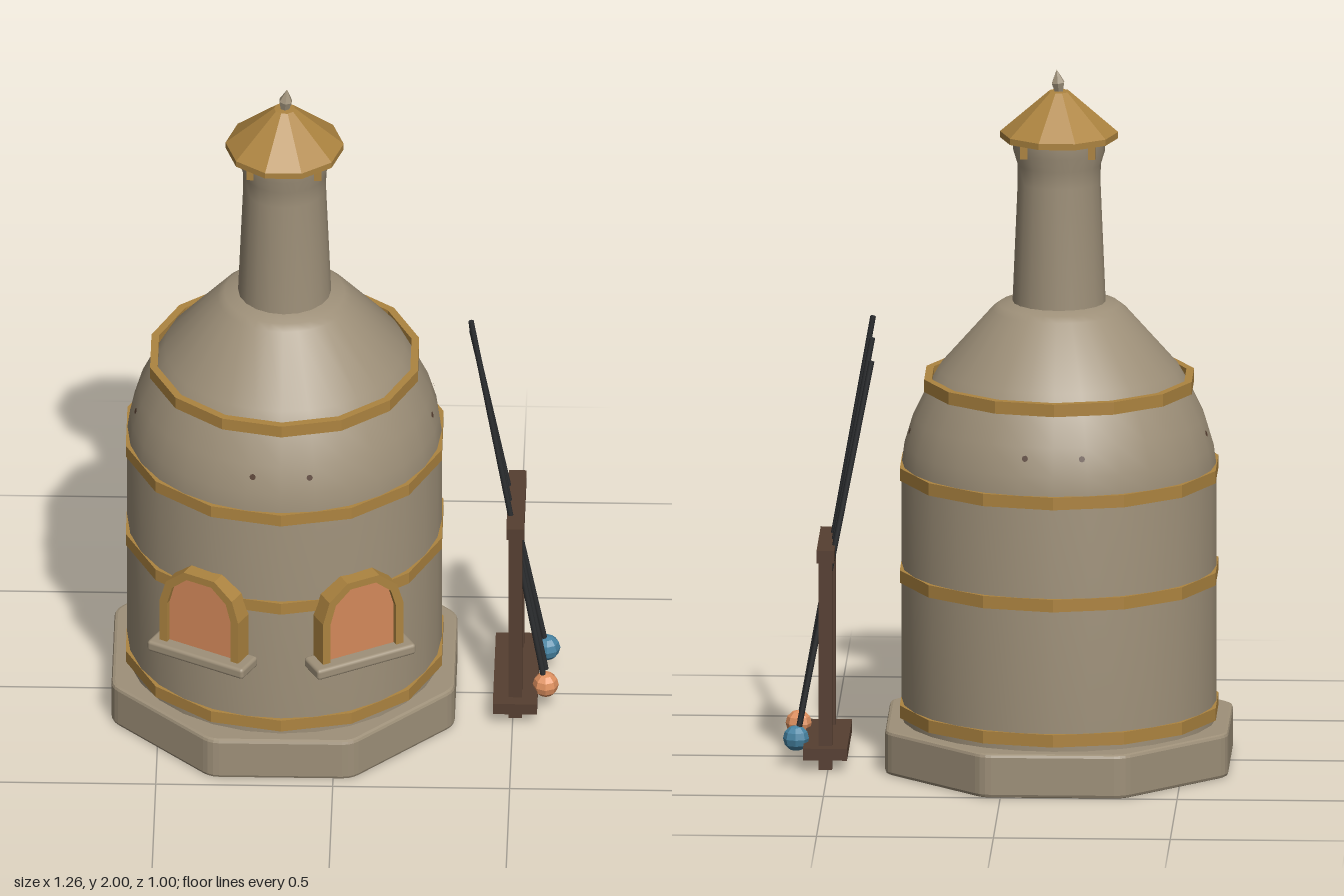
import * as THREE from 'three';
import { toCreasedNormals } from 'three/addons/utils/BufferGeometryUtils.js';
import { RoundedBoxGeometry } from 'three/addons/geometries/RoundedBoxGeometry.js';

const paint = (name, color) => {
  const m = new THREE.MeshStandardMaterial({ color });
  m.name = name;
  return m;
};

export function createModel() {
  const stone = paint('stone', 0x9e9079);
  const brass = paint('brass', 0xad8440);
  const glow = paint('terracotta', 0xd4895a);
  const wood = paint('dark wood', 0x563f31);
  const iron = paint('iron', 0x2c2e30);
  const orangeGlass = paint('orange glass', 0xdf9160);
  const blueGlass = paint('blue glass', 0x4784a3);

  const model = new THREE.Group();
  model.name = 'kilnWithToolRack';
  const add = (parent, name, geo, mat, x = 0, y = 0, z = 0) => {
    const mesh = new THREE.Mesh(geo, mat);
    mesh.name = name;
    mesh.position.set(x, y, z);
    parent.add(mesh);
    return mesh;
  };
  const group = (parent, name, x = 0, y = 0, z = 0) => {
    const g = new THREE.Group();
    g.name = name;
    g.position.set(x, y, z);
    parent.add(g);
    return g;
  };
  const lathe = (pts, sides, crease) => toCreasedNormals(
    new THREE.LatheGeometry(pts.map(p => new THREE.Vector2(...p)), sides), crease);

  const kiln = group(model, 'kiln', -0.148, 0, -0.02);

  // Octagonal plinth with softened corners
  const plinth = new THREE.Shape();
  const apothem = 0.475, R = apothem / Math.cos(Math.PI / 8);
  const corner = i => {
    const a = Math.PI / 8 + i * Math.PI / 4;
    return new THREE.Vector2(R * Math.cos(a), R * Math.sin(a));
  };
  for (let i = 0; i < 8; i++) {
    const c = corner(i);
    const a = c.clone().lerp(corner(i - 1), 0.06), b = c.clone().lerp(corner(i + 1), 0.06);
    if (i === 0) plinth.moveTo(a.x, a.y); else plinth.lineTo(a.x, a.y);
    plinth.quadraticCurveTo(c.x, c.y, b.x, b.y);
  }
  plinth.closePath();
  const plinthGeo = new THREE.ExtrudeGeometry(plinth, {
    depth: 0.107, bevelEnabled: true, bevelSize: 0.01, bevelThickness: 0.01, bevelSegments: 2, curveSegments: 3,
  });
  add(kiln, 'plinth', plinthGeo.rotateX(-Math.PI / 2), stone, 0, 0.01, 0);

  // Drum, shoulder and chimney
  add(kiln, 'body', lathe([[0.445, 0.12], [0.445, 0.86], [0.437, 0.92], [0.413, 1.0],
    [0.372, 1.085], [0.34, 1.14], [0.19, 1.31], [0.17, 1.325], [0.12, 1.335]], 28, 0.6), stone);
  add(kiln, 'chimney', lathe([[0.133, 1.3], [0.117, 1.68], [0.118, 1.73], [0.13, 1.77],
    [0.13, 1.815], [0, 1.815]], 20, 0.6), stone);

  // Faceted hoops
  for (const [y, r] of [[0.16, 0.458], [0.552, 0.458], [0.848, 0.458], [1.102, 0.388]]) {
    const h = 0.018, i = r - 0.022;
    add(kiln, 'hoop', lathe([[i, -h], [r, -h], [r, h], [i, h], [i, -h]], 14, 0.1), brass, 0, y, 0);
  }

  // Chimney cap on short pegs, with a finial
  const cap = lathe([[0, 1.805], [0.167, 1.805], [0.167, 1.823], [0.03, 1.94], [0, 1.942]], 10, 0.1);
  add(kiln, 'chimneyCap', cap.rotateY(Math.PI / 2), brass);
  add(kiln, 'finial', lathe([[0, 0], [0.012, 0], [0.02, 0.03], [0, 0.068]], 6, 0.1),
    stone, 0, 1.935, 0).rotation.z = -0.1;
  for (const sx of [-1, 1]) for (const sz of [-1, 1]) {
    add(kiln, 'capPeg', new THREE.BoxGeometry(0.02, 0.05, 0.02), brass, sx * 0.096, 1.79, sz * 0.096);
  }

  // Small vent holes around the shoulder
  for (let k = 0; k < 4; k++) for (const s of [-1, 1]) {
    const pivot = group(kiln, 'vent');
    pivot.rotation.y = k * Math.PI / 2 + s * 0.19;
    add(pivot, 'ventHole', new THREE.CircleGeometry(0.009, 8), wood, 0, 0.97, 0.427).rotation.x = -0.3;
  }

  // Arched openings
  const arch = (w, h, side, flat) => {
    const half = [[w, 0], [w, side], [w * 0.84, h - (h - side) * 0.42], [flat, h]];
    return [...half, ...half.slice().reverse().map(([x, y]) => [-x, y])]
      .map(p => new THREE.Vector2(...p));
  };
  const outer = new THREE.Shape(arch(0.128, 0.25, 0.135, 0.05));
  const inner = arch(0.104, 0.228, 0.13, 0.04);
  outer.holes.push(new THREE.Path(inner));
  const frameGeo = new THREE.ExtrudeGeometry(outer, { depth: 0.085, bevelEnabled: false });
  const paneGeo = new THREE.ShapeGeometry(new THREE.Shape(inner));
  const sillGeo = new RoundedBoxGeometry(0.313, 0.034, 0.09, 2, 0.01);
  for (const s of [-1, 1]) {
    const opening = group(kiln, s < 0 ? 'rightOpening' : 'leftOpening');
    opening.rotation.y = s * 0.5;
    add(opening, 'openingFrame', frameGeo, brass, 0, 0.385, 0.4);
    add(opening, 'openingPane', paneGeo, glow, 0, 0.385, 0.47);
    add(opening, 'sill', sillGeo, stone, 0, 0.369, 0.465);
  }

  // Tool rack
  const rack = group(model, 'toolRack', 0.507, 0, -0.02);
  add(rack, 'rackBase', new THREE.BoxGeometry(0.125, 0.034, 0.375), wood, 0, 0.053, 0);
  add(rack, 'rackBar', new THREE.BoxGeometry(0.05, 0.036, 0.31), wood, 0, 0.618, 0);
  for (const s of [-1, 1]) {
    add(rack, 'rackPost', new THREE.BoxGeometry(0.038, 0.61, 0.042), wood, 0, 0.305, s * 0.13);
  }

  // Leaning rods, two of them tipped with molten glass
  const rod = (bottom, top) => {
    const a = new THREE.Vector3(...bottom), b = new THREE.Vector3(...top);
    const d = b.clone().sub(a);
    const mesh = add(model, 'rod', new THREE.CylinderGeometry(0.008, 0.008, d.length(), 8), iron);
    mesh.position.copy(a).add(b).multiplyScalar(0.5);
    mesh.quaternion.setFromUnitVectors(new THREE.Vector3(0, 1, 0), d.normalize());
  };
  rod([0.592, 0.07, 0.078], [0.38, 1.27, 0.037]);
  rod([0.59, 0.07, -0.02], [0.38, 1.22, -0.02]);
  rod([0.592, 0.07, -0.118], [0.38, 1.165, -0.077]);
  const blobGeo = toCreasedNormals(new THREE.SphereGeometry(0.037, 8, 6), 0.1);
  add(model, 'orangeGather', blobGeo, orangeGlass, 0.592, 0.08, 0.075);
  add(model, 'blueGather', blobGeo, blueGlass, 0.592, 0.08, -0.118);

  return model;
}
